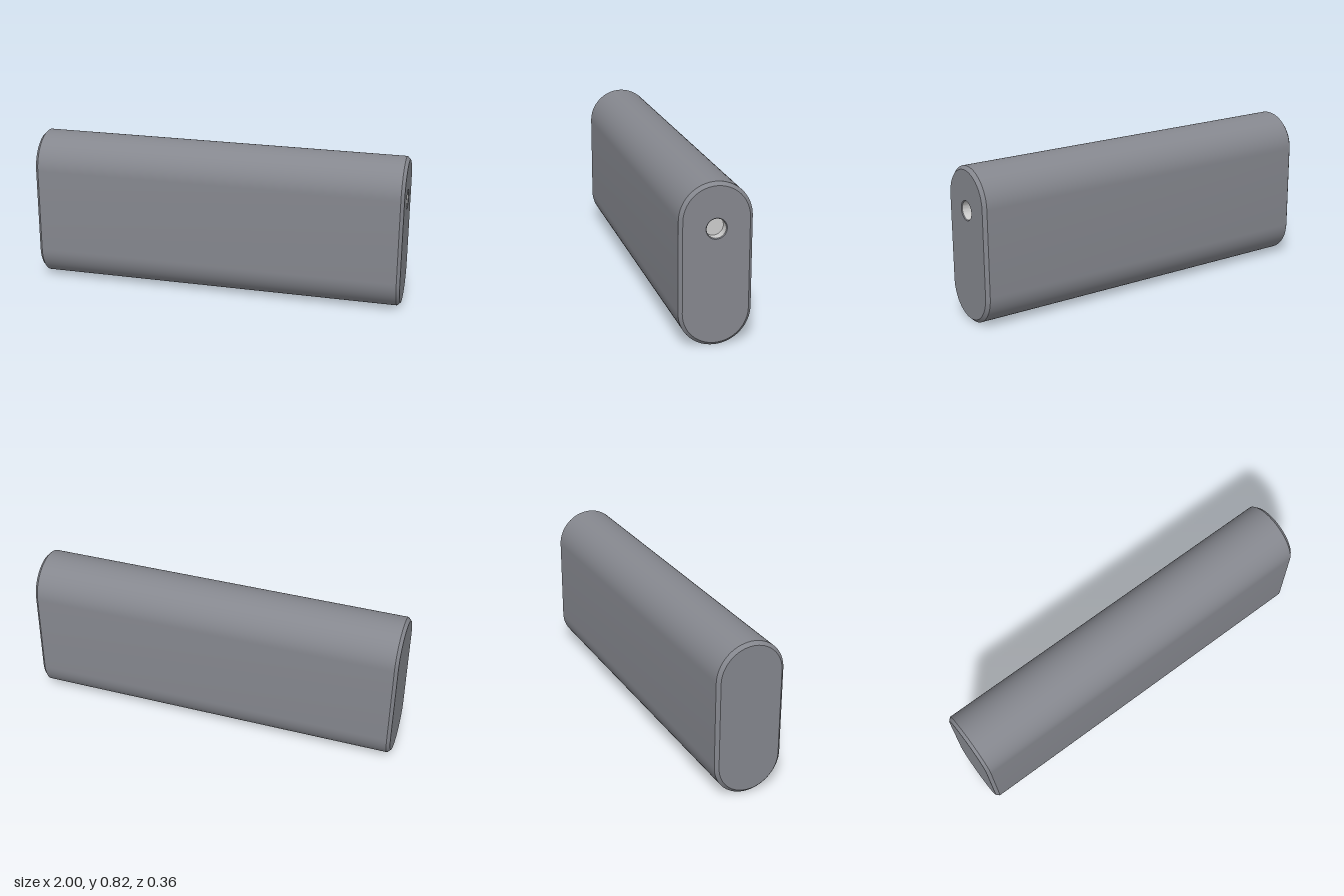
import * as THREE from 'three';
import { toCreasedNormals } from 'three/addons/utils/BufferGeometryUtils.js';

const HALF = 1, RADIUS = 0.181, HEIGHT = 0.818, CHAMFER = 0.017;
const HOLE_Y = 0.592, HOLE_R = 0.052, BORE_R = 0.048, BORE_DEPTH = 0.05;
const ARC = 32, ROUND = 48;

// Upright stadium outline, counter-clockwise, pulled in by inset
function outline(inset) {
  const r = RADIUS - inset, points = [];
  for (const [centre, start] of [[HEIGHT - RADIUS, 0], [RADIUS, Math.PI]]) {
    for (let i = 0; i <= ARC; i++) {
      const a = start + (i / ARC) * Math.PI;
      points.push(new THREE.Vector2(Math.cos(a) * r, centre + Math.sin(a) * r));
    }
  }
  return points;
}

// Skin through stadium rings given as [x, inset]
function shell(rings) {
  const position = [];
  for (let k = 0; k < rings.length - 1; k++) {
    const [x0, in0] = rings[k], [x1, in1] = rings[k + 1];
    const p = outline(in0), q = outline(in1);
    for (let i = 0; i < p.length; i++) {
      const j = (i + 1) % p.length;
      const a = [x0, p[i].y, -p[i].x], b = [x0, p[j].y, -p[j].x];
      const c = [x1, q[i].y, -q[i].x], d = [x1, q[j].y, -q[j].x];
      position.push(...a, ...b, ...c, ...b, ...d, ...c);
    }
  }
  const geometry = new THREE.BufferGeometry();
  geometry.setAttribute('position', new THREE.Float32BufferAttribute(position, 3));
  return toCreasedNormals(geometry, Math.PI / 6);
}

// Surface turned about the hole axis from [radius, x] pairs
function turned(profile) {
  const geometry = new THREE.LatheGeometry(profile.map(([r, x]) => new THREE.Vector2(r, x)), ROUND);
  geometry.rotateZ(-Math.PI / 2).translate(0, HOLE_Y, 0);
  return toCreasedNormals(geometry, Math.PI / 6);
}

export function createModel() {
  const group = new THREE.Group();
  const dark = new THREE.MeshStandardMaterial({ color: 0x85878e });
  const darkThin = new THREE.MeshStandardMaterial({ color: 0x85878e, side: THREE.DoubleSide });
  const light = new THREE.MeshStandardMaterial({ color: 0xcccccc, side: THREE.DoubleSide });
  const add = (name, geometry, material) => {
    const mesh = new THREE.Mesh(geometry, material);
    mesh.name = name;
    group.add(mesh);
  };

  // Long body with a chamfer at each end
  add('body', shell([
    [-HALF, CHAMFER], [-HALF + CHAMFER, 0], [HALF - CHAMFER, 0], [HALF, CHAMFER],
  ]), dark);

  // Plain end on the right, pierced end on the left
  const plain = new THREE.Shape(outline(CHAMFER));
  add('rightEnd', new THREE.ShapeGeometry(plain).rotateY(-Math.PI / 2).translate(-HALF, 0, 0), dark);
  const pierced = new THREE.Shape(outline(CHAMFER));
  pierced.holes.push(new THREE.Path().absarc(0, HOLE_Y, HOLE_R, 0, Math.PI * 2, true));
  add('leftEnd', new THREE.ShapeGeometry(pierced, ROUND).rotateY(Math.PI / 2).translate(HALF, 0, 0), dark);

  // Socket: small chamfered rim and a light lining with a flat floor
  const lip = HALF - (HOLE_R - BORE_R);
  add('socketRim', turned([[BORE_R, lip], [HOLE_R, HALF]]), darkThin);
  add('socketLining', turned([[0, HALF - BORE_DEPTH], [BORE_R, HALF - BORE_DEPTH], [BORE_R, lip]]), light);

  return group;
}
